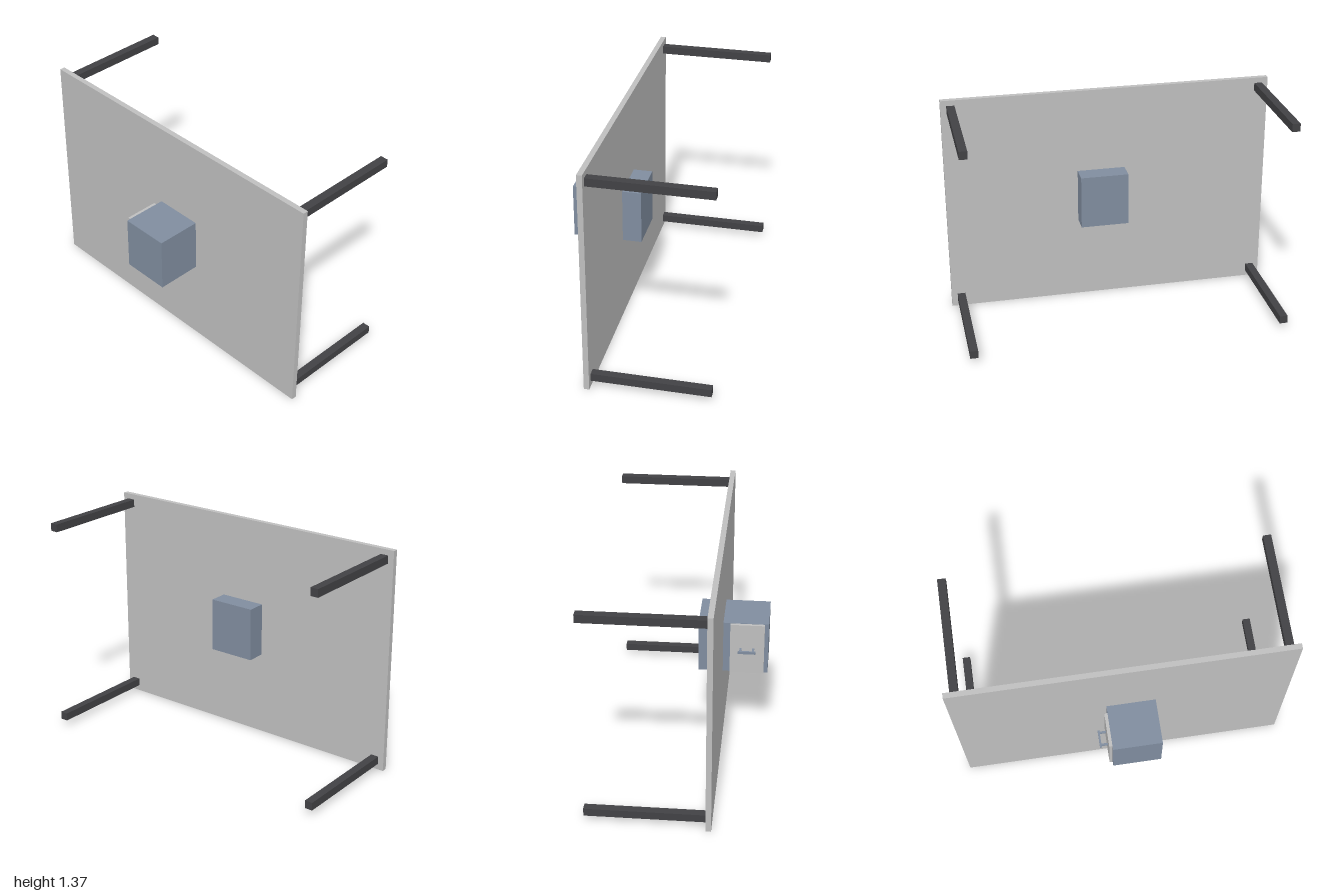
import * as THREE from 'three';

function mat(name, color) {
  const m = new THREE.MeshStandardMaterial({ color });
  m.name = name;
  return m;
}

export function createModel() {
  const model = new THREE.Group();
  model.name = 'deskWithCabinet';

  const boardGrey = mat('boardGrey', 0xbfbfbf);
  const slateBlue = mat('slateBlue', 0x808d9f);
  const charcoal = mat('charcoal', 0x424245);

  // Box given by its minimum and maximum corners
  function box(name, material, [x0, y0, z0], [x1, y1, z1], parent = model) {
    const mesh = new THREE.Mesh(new THREE.BoxGeometry(x1 - x0, y1 - y0, z1 - z0), material);
    mesh.position.set((x0 + x1) / 2, (y0 + y1) / 2, (z0 + z1) / 2);
    mesh.name = name;
    parent.add(mesh);
    return mesh;
  }

  // Upright board
  box('board', boardGrey, [-1, 0, 0.198], [1, 1.368, 0.23]);

  // Four square legs reaching backwards
  for (const x of [-0.94, 0.94]) {
    for (const y of [0.06, 1.311]) {
      box('leg', charcoal, [x - 0.024, y - 0.024, -0.5], [x + 0.024, y + 0.024, 0.198]);
    }
  }

  // Cabinet passing through the board
  box('cabinet', slateBlue, [-0.103, 0.52, 0.083], [0.19, 0.85, 0.5]);

  // Drawer front on the cabinet's right side
  box('drawerFront', boardGrey, [-0.122, 0.523, 0.272], [-0.103, 0.848, 0.476]);

  // Handle: a bar on two short posts
  const handle = new THREE.Group();
  handle.name = 'handle';
  model.add(handle);
  box('handleBar', slateBlue, [-0.171, 0.68, 0.321], [-0.16, 0.696, 0.425], handle);
  for (const z of [0.335, 0.411]) {
    box('handlePost', slateBlue, [-0.16, 0.682, z - 0.006], [-0.122, 0.694, z + 0.006], handle);
  }

  return model;
}
